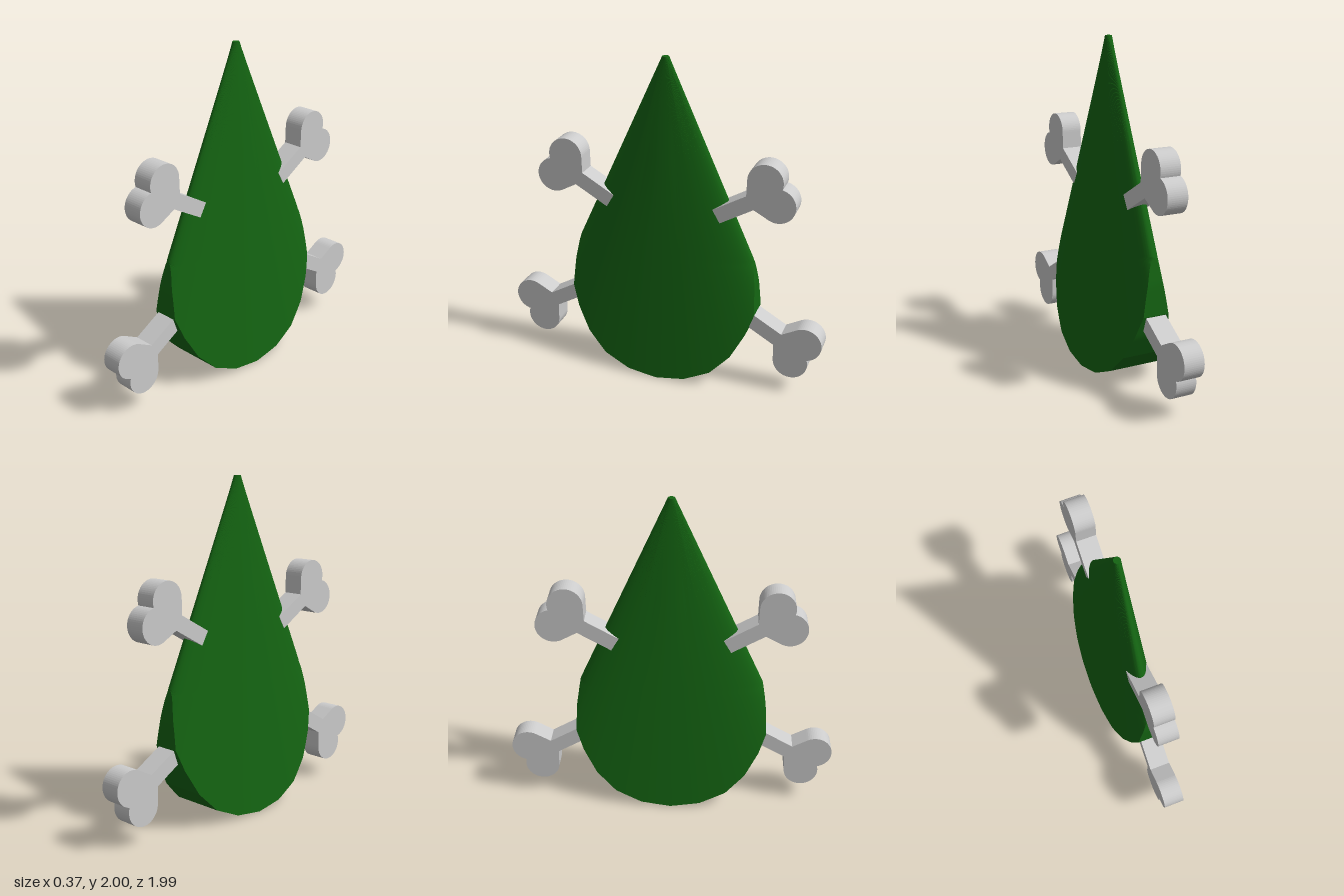
import * as THREE from 'three';
import { toCreasedNormals } from 'three/addons/utils/BufferGeometryUtils.js';

// Half outline of the drop below the cone: [z, y]
const OUTLINE = [[0, 0], [0.182, 0.025], [0.342, 0.098], [0.46, 0.22], [0.54, 0.37], [0.584, 0.497], [0.574, 0.674], [0.55, 0.83]];
const TOP = 2;

// Flattened cone whose sides are trimmed by the rounded outline
function bodyGeometry() {
  const rows = [];
  const steps = 5, cols = 80;
  for (let i = 0; i < OUTLINE.length - 1; i++) {
    for (let s = 0; s < steps; s++) {
      const t = s / steps;
      rows.push([THREE.MathUtils.lerp(OUTLINE[i][0], OUTLINE[i + 1][0], t), THREE.MathUtils.lerp(OUTLINE[i][1], OUTLINE[i + 1][1], t)]);
    }
  }
  rows.push([Infinity, 0.83], [Infinity, 1.4], [Infinity, TOP]);

  const positions = [], index = [];
  const ring = 2 * (cols + 1);
  for (const [limit, y] of rows) {
    const rx = 0.02 + 0.0825 * (TOP - y);
    const rz = 0.02 + 0.453 * (TOP - y);
    const reach = Math.asin(Math.min(1, limit / rz));
    for (const side of [1, -1]) {
      for (let c = 0; c <= cols; c++) {
        const a = reach * (1 - 2 * c / cols) * side;
        positions.push(side * rx * Math.cos(a), y, rz * Math.sin(a));
      }
    }
  }
  for (let r = 0; r < rows.length - 1; r++) {
    for (let c = 0; c < ring; c++) {
      const a = r * ring + c, b = r * ring + (c + 1) % ring;
      index.push(a, b, b + ring, a, b + ring, a + ring);
    }
  }
  // Small cap on the tip
  const last = (rows.length - 1) * ring;
  for (let c = 1; c < ring - 1; c++) index.push(last, last + c, last + c + 1);

  const geometry = new THREE.BufferGeometry();
  geometry.setAttribute('position', new THREE.Float32BufferAttribute(positions, 3));
  geometry.setIndex(index);
  return toCreasedNormals(geometry, 0.235);
}

// Flat bone end: straight shaft along +x with two round knobs
function boneGeometry() {
  const half = 0.0455, along = 0.372, across = 0.078, r = 0.105;
  const notch = Math.asin(across / r);
  const tangent = Math.PI * 5 / 6;
  const shape = new THREE.Shape();
  shape.moveTo(0, -half);
  shape.lineTo(0.229, -half);
  shape.absarc(along, -across, r, -tangent, notch, false);
  shape.absarc(along, across, r, -notch, tangent, false);
  shape.lineTo(0.229, half);
  shape.lineTo(0, half);
  const depth = 0.125;
  return new THREE.ExtrudeGeometry(shape, { depth, bevelEnabled: false, curveSegments: 16 }).translate(0, 0, -depth / 2);
}

export function createModel() {
  const model = new THREE.Group();
  const green = new THREE.MeshStandardMaterial({ color: 0x146412 });
  const grey = new THREE.MeshStandardMaterial({ color: 0xcccccc });

  const body = new THREE.Mesh(bodyGeometry(), green);
  body.name = 'dropBody';
  model.add(body);

  // Four bones leaning up and down, front and back
  for (const front of [1, -1]) {
    for (const [level, z, y, tilt] of [['upper', 0.33, 1.1, 1], ['lower', 0.53, 0.47, -1]]) {
      const geometry = boneGeometry().rotateZ(tilt * Math.PI / 6).rotateY(-front * Math.PI / 2);
      const bone = new THREE.Mesh(geometry, grey);
      bone.name = level + (front > 0 ? 'FrontBone' : 'BackBone');
      bone.position.set(0, y, front * z);
      model.add(bone);
    }
  }
  return model;
}
